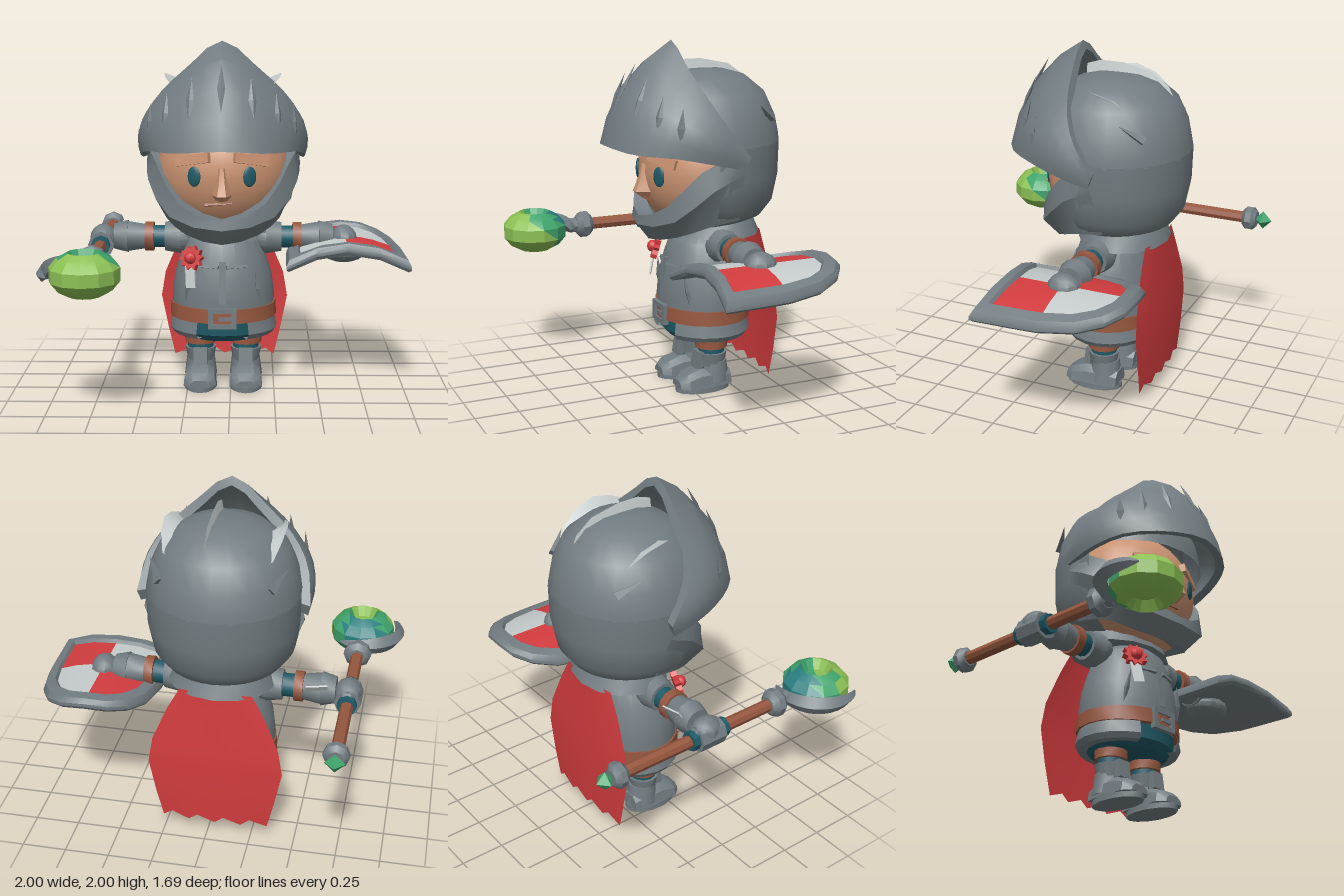
import * as THREE from 'three';
import { toCreasedNormals } from 'three/addons/utils/BufferGeometryUtils.js';

const paint = (name, color, extra = {}) => Object.assign(new THREE.MeshStandardMaterial({ color, ...extra }), { name });
const V = (p) => new THREE.Vector3(...p);

function add(parent, name, geo, mat, pos = [0, 0, 0], rot = [0, 0, 0], scale = [1, 1, 1], crease = 0.6) {
  const m = new THREE.Mesh(toCreasedNormals(geo, crease), mat);
  m.name = name;
  m.position.set(...pos);
  m.rotation.set(...rot);
  m.scale.set(...scale);
  parent.add(m);
  return m;
}

// Skins rows of points; closed rows become a capped solid facing outward
function loft(rows, closed = true) {
  const n = rows[0].length, idx = [], pts = rows.flat();
  for (let i = 0; i < rows.length - 1; i++)
    for (let j = 0; j < (closed ? n : n - 1); j++) {
      const a = i * n + j, b = i * n + (j + 1) % n;
      idx.push(a, b, a + n, b, b + n, a + n);
    }
  if (closed) {
    const e = (rows.length - 1) * n;
    for (let j = 1; j < n - 1; j++) idx.push(0, j + 1, j, e, e + j, e + j + 1);
    let vol = 0;
    for (let k = 0; k < idx.length; k += 3)
      vol += V(pts[idx[k]]).dot(V(pts[idx[k + 1]]).cross(V(pts[idx[k + 2]])));
    if (vol < 0) idx.reverse();
  }
  const g = new THREE.BufferGeometry();
  g.setAttribute('position', new THREE.Float32BufferAttribute(pts.flat(), 3));
  g.setIndex(idx);
  return g;
}
const lathe = (p, seg = 16, start = 0, len = Math.PI * 2) =>
  new THREE.LatheGeometry(p.map(([r, y]) => new THREE.Vector2(r, y)), seg, start, len);
// Smooth curve through half an edge and its mirror image
const mirrored = (half) => new THREE.CatmullRomCurve3(
  [...half.slice(1).reverse().map(([x, y, z]) => [-x, y, z]), ...half].map(V));
const cyl = (r1, r2, h, n = 12) => new THREE.CylinderGeometry(r1, r2, h, n);
const ball = (r, a = 12, b = 8) => new THREE.SphereGeometry(r, a, b);
const box = (x, y, z) => new THREE.BoxGeometry(x, y, z);

export function createModel() {
  const steel = paint('steel', 0x737d82, { side: THREE.DoubleSide }), teal = paint('teal cloth', 0x1f5a66);
  const leather = paint('leather', 0x96573f), skin = paint('skin', 0xc99270);
  const red = paint('red', 0xd23c3e, { side: THREE.DoubleSide }), white = paint('white', 0xc6cccc);
  const lime = paint('lime', 0x8cc055), green = paint('green', 0x3fa36c), sea = paint('sea green', 0x2a7f80);
  const model = new THREE.Group();
  const knight = new THREE.Group();
  knight.name = 'knight';
  knight.position.x = -0.045;
  model.add(knight);
  const K = (...a) => add(knight, ...a);

  // Helmet shell: full crown, nape open at the face
  const back = [0, 0, -0.14];
  K('helmetCrown', lathe([[0.425, 1.43], [0.42, 1.48], [0.4, 1.58], [0.34, 1.71], [0.23, 1.8], [0.12, 1.83], [0, 1.835]], 24), steel, back);
  K('helmetNape', lathe([[0.2, 0.96], [0.33, 1.02], [0.39, 1.1], [0.42, 1.25], [0.425, 1.44]], 20, 1.35, Math.PI * 2 - 2.7), steel, back);

  // Visor: shell between the lower rim and the swept-back upper rim
  const low = mirrored([[0, 1.44, 0.46], [0.25, 1.42, 0.38], [0.4, 1.41, 0.2], [0.46, 1.37, 0], [0.46, 1.33, -0.17]]);
  const top = mirrored([[0, 2, 0.06], [0.2, 1.85, 0.04], [0.34, 1.72, 0], [0.435, 1.58, -0.07], [0.475, 1.4, -0.2]]);
  const outward = (p) => new THREE.Vector3(p.x, p.y - 1.5, p.z + 0.14).normalize();
  const visorPoint = (t, v) => {
    const p = low.getPoint(t).lerp(top.getPoint(t), v);
    return p.addScaledVector(outward(p), 0.085 * Math.sin(Math.PI * v) * (1 - Math.abs(2 * t - 1) ** 1.5));
  };
  const visorRows = [];
  for (let i = 0; i <= 20; i++) {
    const outer = [0, 0.25, 0.5, 0.75, 1].map((v) => visorPoint(i / 20, v));
    const inner = outer.map((p) => p.clone().addScaledVector(outward(p), -0.05)).reverse();
    visorRows.push([...outer, ...inner].map((p) => p.toArray()));
  }
  K('visor', loft(visorRows), steel);
  for (let i = -3; i <= 3; i++) {
    const p = visorPoint(0.5 + i * 0.075, 0.5 - Math.abs(i) * 0.02);
    const ridge = K('visorRidge', new THREE.OctahedronGeometry(1), steel, p.toArray(), [0, 0, 0], [0.022, 0.14 - Math.abs(i) * 0.012, 0.012], 0.1);
    ridge.quaternion.setFromUnitVectors(new THREE.Vector3(0, 0, 1), outward(p));
  }

  // Chin guard with a V-shaped upper edge
  const guard = [
    [[0, 1.03, 0.26], [0.24, 1.12, 0.19], [0.37, 1.32, 0.04], [0.43, 1.4, -0.14]],
    [[0, 0.98, 0.27], [0.29, 1.04, 0.17], [0.42, 1.22, -0.01], [0.44, 1.3, -0.18]],
    [[0, 0.89, 0.2], [0.2, 0.93, 0.12], [0.32, 1, -0.03], [0.34, 1.03, -0.2]],
    [[0, 0.95, 0.1], [0.14, 0.97, 0.05], [0.26, 1.04, -0.08], [0.28, 1.08, -0.22]],
    [[0, 1.03, 0.17], [0.2, 1.12, 0.12], [0.32, 1.32, -0.02], [0.38, 1.4, -0.16]],
  ].map(mirrored);
  K('chinGuard', loft([...Array(13)].map((_, i) => guard.map((c) => c.getPoint(i / 12).toArray()))), steel);
  K('collar', cyl(0.25, 0.3, 0.1, 14), steel, [0, 0.96, -0.2], [0, 0, 0], [1, 1, 0.85]);

  // Face
  K('head', ball(1, 24, 16), skin, [0, 1.27, -0.1], [0, 0, 0], [0.375, 0.36, 0.33]);
  K('nose', loft([[0.025, 1.32, 0.24], [0.04, 1.24, 0.255], [0.06, 1.17, 0.285], [0.035, 1.14, 0.25]].map(([w, y, z]) =>
    [[-w, y, 0.2], [-w * 0.4, y, z], [w * 0.4, y, z], [w, y, 0.2]])), skin);
  K('mouth', box(0.15, 0.012, 0.02), leather, [-0.02, 1.115, 0.19], [-0.4, 0, 0.06]);
  // Pale crest sheets face inward and upward, given as [z, base x, base y, tip x, tip y]
  const crest = (s, pts) => {
    const rows = pts.map(([z, a, b, c, d]) => [[s * a, b, z], [s * c, d, z]]);
    K('crestFin', loft(s > 0 ? rows : rows.reverse(), false), white);
  };
  for (const s of [-1, 1]) {
    K('eye', ball(1, 14, 10), teal, [s * 0.152, 1.27, 0.2], [0, s * 0.45, 0], [0.04, 0.056, 0.012]);
    K('brow', box(0.2, 0.055, 0.05), skin, [s * 0.155, 1.36, 0.172], [-0.2, s * 0.45, -s * 0.08]);
    crest(s, [[0.06, 0.25, 1.72, 0.29, 1.77], [-0.02, 0.245, 1.75, 0.32, 1.8], [-0.12, 0.24, 1.78, 0.33, 1.815],
      [-0.24, 0.24, 1.75, 0.32, 1.78], [-0.34, 0.25, 1.68, 0.29, 1.71]]);
    crest(s, [[0.06, 0.04, 1.76, 0.055, 1.86], [-0.02, 0.04, 1.8, 0.06, 1.885], [-0.15, 0.04, 1.8, 0.06, 1.885],
      [-0.32, 0.04, 1.77, 0.06, 1.85], [-0.42, 0.04, 1.7, 0.055, 1.78], [-0.48, 0.04, 1.62, 0.045, 1.67]]);
    K('crestSpike', new THREE.ConeGeometry(0.03, 0.16, 4), steel, [s * 0.33, 1.62, -0.36], [0.9, 0, -s * 0.5]);
  }

  // Torso, belt and skirt
  const mid = [0, 0, -0.13], flat = [1, 1, 0.87];
  K('torso', lathe([[0.29, 0.42], [0.295, 0.54], [0.28, 0.66], [0.25, 0.76], [0.21, 0.87], [0.12, 0.94], [0, 0.95]], 20), steel, mid, [0, 0, 0], flat);
  K('belt', lathe([[0.27, 0.42], [0.308, 0.42], [0.303, 0.5], [0.27, 0.5]], 20), leather, mid, [0, 0, 0], flat);
  K('skirt', lathe([[0.24, 0.32], [0.29, 0.32], [0.31, 0.35], [0.295, 0.425]], 18, 0.5, Math.PI * 2 - 1), steel, mid, [0, 0, 0], flat);
  K('shorts', lathe([[0, 0.3], [0.22, 0.3], [0.265, 0.34], [0.27, 0.42]], 16), teal, mid, [0, 0, 0], flat);
  for (const s of [-1, 1]) {
    K('buckleSide', box(0.028, 0.11, 0.03), steel, [s * 0.066, 0.45, 0.13]);
    K('buckleBar', box(0.16, 0.026, 0.03), steel, [0, 0.45 + s * 0.045, 0.13]);
    K('chestFold', new THREE.OctahedronGeometry(1), steel, [s * 0.2, 0.61, 0.05], [0, s * 0.8, s * 0.2], [0.015, 0.12, 0.02], 0.1);
    K('chestTrim', box(0.12, 0.018, 0.02), steel, [s * 0.08, 0.74, 0.08], [-0.35, s * 0.3, s * 0.12]);
  }
  K('buckleTongue', box(0.08, 0.02, 0.028), steel, [0.02, 0.45, 0.13]);
  K('chestRidge', box(0.04, 0.24, 0.03), steel, [0, 0.65, 0.1], [-0.12, 0, 0]);

  // Rosette with a hanging ribbon
  const star = new THREE.Shape([...Array(20)].map((_, i) => {
    const r = i % 2 ? 0.052 : 0.072, a = i * Math.PI / 10;
    return new THREE.Vector2(r * Math.cos(a), r * Math.sin(a));
  }));
  K('rosette', new THREE.ExtrudeGeometry(star, { depth: 0.035, bevelEnabled: false }), red, [-0.165, 0.785, 0.065], [-0.3, -0.4, 0]);
  K('rosetteCentre', ball(0.035, 8, 6), red, [-0.18, 0.795, 0.1]);
  K('ribbon', box(0.06, 0.13, 0.009), white, [-0.18, 0.69, 0.105], [-0.2, -0.5, 0.05]);

  // Cape with a ragged hem
  const cape = [[0.93, 0.2, -0.4], [0.8, 0.27, -0.405], [0.6, 0.355, -0.42], [0.45, 0.38, -0.425], [0.25, 0.34, -0.425], [0.1, 0.3, -0.42]];
  K('cape', loft(cape.map(([y, w, z], i) => [...Array(13)].map((_, j) => {
    const t = j / 6 - 1;
    return [t * w, y + (i === 5 ? (j % 3 - 1) * 0.018 : 0), z - 0.02 * (1 - t * t)];
  })), false), red);

  // Arms and legs
  for (const s of [-1, 1]) {
    const along = [0, 0, -s * Math.PI / 2];
    const arm = (name, r1, r2, x, h, mat) => K(name, cyl(r2, r1, h), mat, [s * x, 0.87, -0.145], along);
    K('shoulder', ball(0.1), steel, [s * 0.25, 0.865, -0.145], [0, 0, 0], [1, 0.9, 1]);
    arm('pauldron', 0.1, 0.085, 0.29, 0.09, steel);
    arm('sleeve', 0.065, 0.065, 0.37, 0.16, teal);
    arm('armBand', 0.085, 0.085, 0.425, 0.05, leather);
    arm('forearm', 0.07, 0.09, 0.5, 0.12, steel);
    arm('cuff', 0.095, 0.075, 0.59, 0.08, steel);
    K('hand', ball(0.085, 10, 8), steel, [s * 0.695, 0.86, -0.145], [0, 0, 0], [0.9, 0.95, 1.1]);

    const x = s * 0.132;
    K('leg', cyl(0.075, 0.075, 0.22), teal, [x, 0.24, -0.13]);
    K('legBand', cyl(0.092, 0.092, 0.05), leather, [x, 0.275, -0.13]);
    K('bootCuff', cyl(0.09, 0.075, 0.08), steel, [x, 0.18, -0.13]);
    K('kneePlate', box(0.08, 0.1, 0.04), steel, [x, 0.18, -0.045], [-0.15, 0, 0]);
    K('bootShaft', cyl(0.08, 0.095, 0.12), steel, [x, 0.11, -0.14]);
    K('foot', loft([[-0.23, 0.07, 0.11], [-0.16, 0.088, 0.13], [-0.04, 0.09, 0.13], [0.04, 0.095, 0.105], [0.085, 0.06, 0.07]].map(([z, w, h]) =>
      [[-w, 0.03, z], [-w * 0.9, h * 0.75, z], [-w * 0.5, h, z], [w * 0.5, h, z], [w * 0.9, h * 0.75, z], [w, 0.03, z]])), steel, [x, 0, 0]);
    K('sole', cyl(1, 1, 0.035, 14), steel, [x, 0.0175, -0.075], [0, 0, 0], [0.098, 1, 0.167]);
  }
  K('elbowTrim', box(0.12, 0.05, 0.009), white, [-0.53, 0.92, -0.235], [-0.6, 0.15, 0]);

  // Shield lying flat and bowed across its width
  const half = [[0, -0.42], [0.13, -0.405], [0.23, -0.33], [0.3, -0.2], [0.335, 0], [0.34, 0.15], [0.345, 0.375], [0.18, 0.35], [0, 0.335]];
  const outline = [...half, ...half.slice(1, 8).reverse().map(([x, z]) => [-x, z])];
  const ring = (k, h, pts = outline) => pts.map(([x, z]) => [0.655 + x * k, 0.87 - 0.8 * (x * k) ** 2 + h, -0.145 + z * k]);
  add(model, 'shieldFrame', loft([ring(0, -0.04), ring(0.5, -0.04), ring(0.96, -0.04), ring(1, -0.02), ring(1, 0), ring(0.95, 0.025),
    ring(0.8, 0.025), ring(0.75, -0.005), ring(0.4, -0.005), ring(0, -0.005)]), steel);
  for (let q = 0; q < 4; q++) {
    const part = [0, 1, 2, 3, 4].map((j) => outline[(q * 4 + j) % 16]);
    add(model, 'shieldQuarter', loft([0, 0.25, 0.5, 0.765].map((k) => ring(k, 0.004, part)), false), q % 2 ? red : white);
  }
  add(model, 'shieldBoss', ball(0.14, 12, 8), steel, [0.65, 0.8, -0.145], [0, 0, 0], [1, 0.55, 0.8]);

  // Staff
  const staff = new THREE.Group();
  staff.name = 'staff';
  staff.position.set(-0.745, 0.835, 0);
  model.add(staff);
  const rod = (name, r, z0, z1, mat, n = 8) => add(staff, name, cyl(r, r, z1 - z0, n), mat, [0, 0, (z0 + z1) / 2], [Math.PI / 2, 0, 0]);
  rod('shaft', 0.036, -0.7, 0.32, leather);
  rod('gripRingBack', 0.055, -0.26, -0.21, teal);
  rod('gripRingFront', 0.055, -0.07, -0.02, teal);
  rod('grip', 0.075, -0.22, -0.06, steel);
  const cap = lathe([[0, -0.05], [0.05, -0.05], [0.08, -0.02], [0.08, 0.02], [0.05, 0.05], [0, 0.05]], 8);
  add(staff, 'frontCap', cap, steel, [0, 0, 0.34], [Math.PI / 2, 0, 0]);
  rod('capNeck', 0.045, 0.37, 0.43, steel);
  add(staff, 'backCap', cap, steel, [0, 0, -0.72], [Math.PI / 2, 0, 0], [0.9, 0.85, 0.9]);
  add(staff, 'backGem', new THREE.OctahedronGeometry(0.055), green, [0, 0, -0.8], [0, 0, 0], [1, 1, 0.95], 0.1);

  // Orb with dimpled poles, coloured in tilted bands from front to back
  const orb = toCreasedNormals(lathe([[0, -0.06], [0.06, -0.06], [0.09, -0.115], [0.145, -0.085], [0.187, -0.035], [0.187, 0.035],
    [0.145, 0.085], [0.09, 0.115], [0.06, 0.06], [0, 0.06]], 12), 0.4);
  const at = orb.attributes.position;
  for (let i = 0; i < at.count; i += 3) {
    const t = [i, i + 1, i + 2].reduce((sum, k) => sum + at.getZ(k) - 0.8 * at.getY(k), 0) / 3;
    orb.addGroup(i, 3, t > -0.03 ? 0 : t > -0.16 ? 1 : 2);
  }
  const orbMesh = new THREE.Mesh(orb, [lime, green, sea]);
  orbMesh.name = 'orb';
  orbMesh.position.set(0, -0.005, 0.65);
  staff.add(orbMesh);

  // Crescent holding the orb
  const claw = [...Array(15)].map((_, i) => {
    const t = i / 14, a = (-58 - 157 * t) * Math.PI / 180, w = 0.003 + 0.034 * Math.sin(Math.PI * t) ** 0.6;
    return [[-w, 0], [0, 1.5 * w], [w, 0], [0, -1.5 * w]].map(([d, y]) =>
      [(0.222 + d) * Math.cos(a), y, 0.65 + (0.222 + d) * Math.sin(a)]);
  });
  add(staff, 'crescent', loft(claw), steel, [0, 0, 0], [0, 0, 0], [1, 1, 1], 0.4);

  return model;
}
